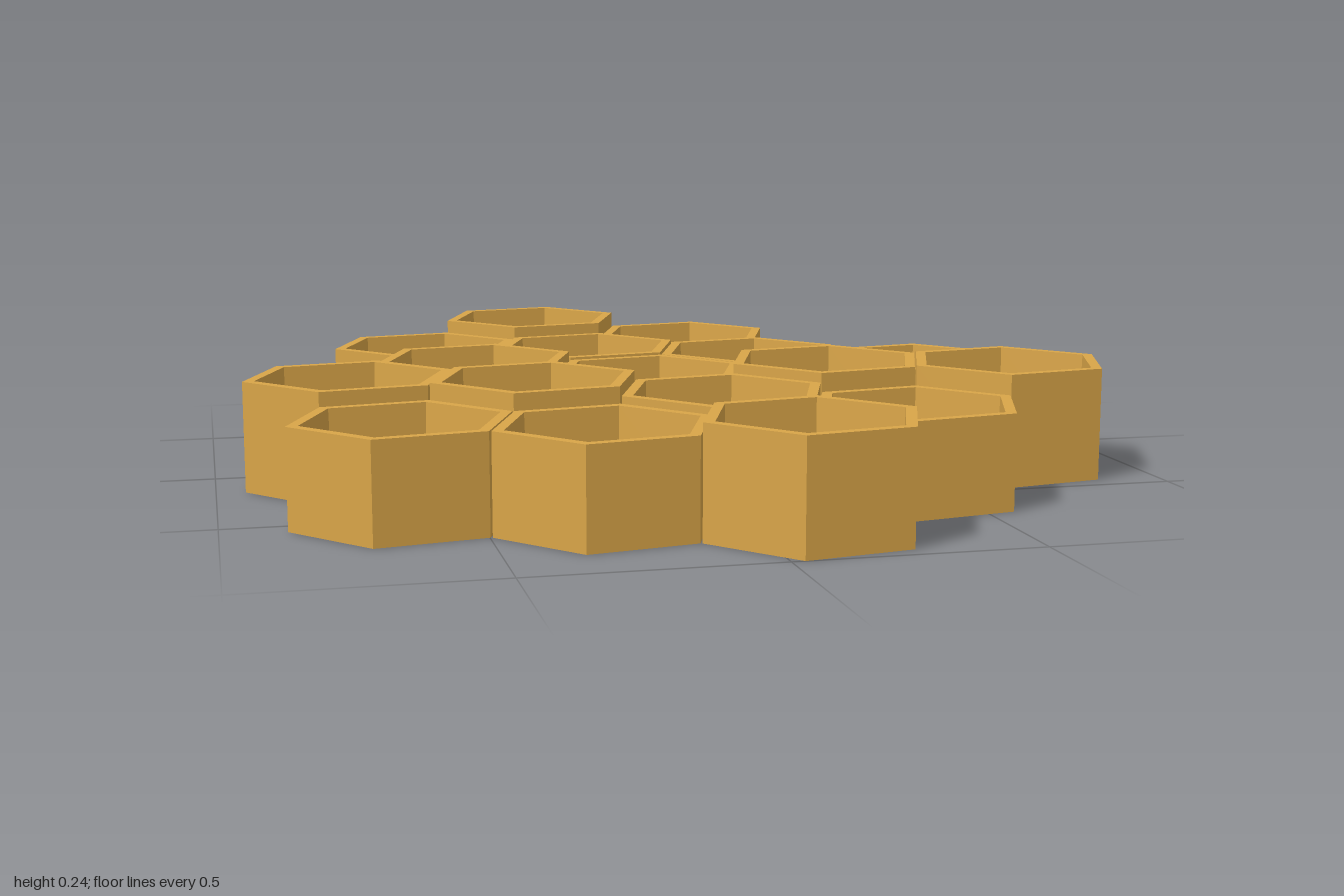
import * as THREE from 'three';

const PITCH = 0.399;      // distance between neighbouring cell centres
const OUTER = 0.228;      // corner radius of a cell
const INNER = 0.203;      // corner radius of the opening
const FLOOR_R = 0.196;    // corner radius at the cell floor
const FLOOR_Y = 0.025;
const TILT = THREE.MathUtils.degToRad(20);

// Each row: first column, then the height of every cell in it
const ROWS = [
  { v: -2, u: 0, heights: [0.24, 0.205] },
  { v: -1, u: -1, heights: [0.21, 0.215, 0.21, 0.2] },
  { v: 0, u: -1, heights: [0.23, 0.21, 0.24, 0.243] },
  { v: 1, u: -2, heights: [0.235, 0.24, 0.22, 0.2] },
  { v: 2, u: -2, heights: [0.205, 0.205, 0.23] },
];

// Six-sided flat-shaded turned shape from [radius, y] points
function hexLathe(profile) {
  const points = profile.map(([r, y]) => new THREE.Vector2(r, y));
  const geometry = new THREE.LatheGeometry(points, 6, -TILT).toNonIndexed();
  geometry.computeVertexNormals();
  return geometry;
}

export function createModel() {
  const wax = new THREE.MeshStandardMaterial({ color: 0xd9a548 });
  wax.name = 'golden wax';
  const honey = new THREE.MeshStandardMaterial({ color: 0x965f22 });
  honey.name = 'brown honey';

  const comb = new THREE.Group();
  comb.name = 'honeycomb';
  const floorGeometry = hexLathe([[FLOOR_R, FLOOR_Y], [0, FLOOR_Y]]);

  for (const { v, u, heights } of ROWS) {
    heights.forEach((height, i) => {
      const cell = new THREE.Group();
      cell.name = 'cell';

      // Base, outer wall, rim and slightly tapered inner wall
      const wall = new THREE.Mesh(hexLathe([
        [0, 0], [OUTER, 0], [OUTER, height], [INNER, height], [FLOOR_R, FLOOR_Y],
      ]), wax);
      wall.name = 'cellWall';

      const floor = new THREE.Mesh(floorGeometry, honey);
      floor.name = 'cellFloor';
      cell.add(wall, floor);

      // Hexagonal lattice turned by TILT
      const a = u + i;
      const b = TILT + Math.PI / 3;
      cell.position.set(
        -0.034 + PITCH * (a * Math.cos(TILT) + v * Math.cos(b)),
        0,
        PITCH * (a * Math.sin(TILT) + v * Math.sin(b)),
      );
      comb.add(cell);
    });
  }
  return comb;
}
